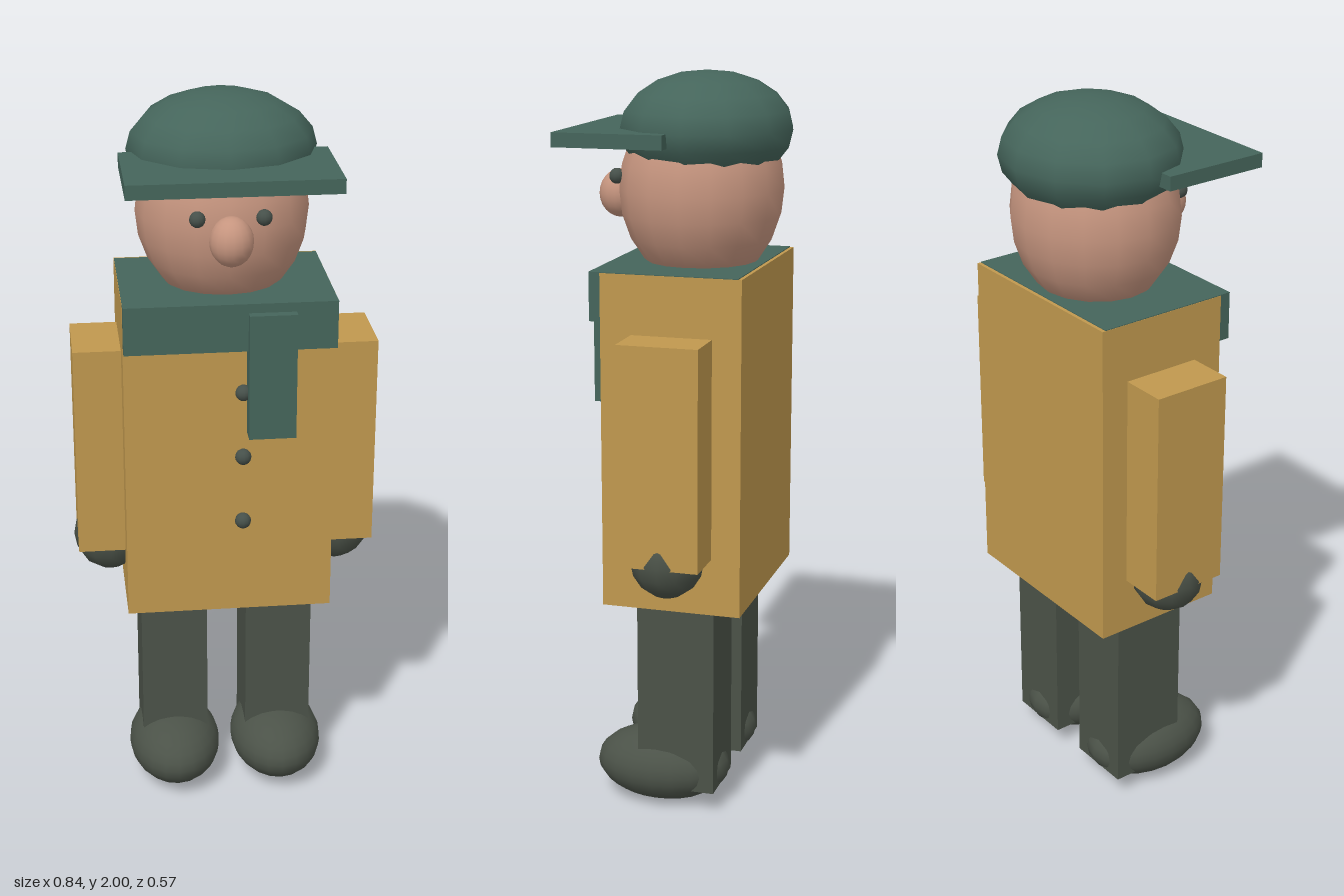
import * as THREE from 'three';

export function createModel() {
  const model = new THREE.Group();
  model.name = 'capped figure in coat';

  const material = (name, color) => {
    const m = new THREE.MeshStandardMaterial({ color });
    m.name = name;
    return m;
  };
  const coat = material('mustard coat', 0xc0984e);
  const green = material('green wool', 0x45655b);
  const skin = material('skin', 0xc6957f);
  const dark = material('charcoal cloth', 0x4b5248);
  const bead = material('dark bead', 0x46504a);

  const add = (name, geometry, mat, x, y, z) => {
    const mesh = new THREE.Mesh(geometry, mat);
    mesh.name = name;
    mesh.position.set(x, y, z);
    model.add(mesh);
    return mesh;
  };
  // Box given by its extents along each axis
  const box = (name, mat, [x0, x1], [y0, y1], [z0, z1]) =>
    add(name, new THREE.BoxGeometry(x1 - x0, y1 - y0, z1 - z0), mat,
      (x0 + x1) / 2, (y0 + y1) / 2, (z0 + z1) / 2);
  // Smooth ellipsoid given by centre and radii
  const ball = (name, mat, [x, y, z], radii, w = 12, h = 8) =>
    add(name, new THREE.SphereGeometry(1, w, h).scale(...radii), mat, x, y, z);

  // Coat body and scarf
  box('coatBody', coat, [-0.28, 0.28], [0.595, 1.498], [-0.225, 0.155]);
  box('scarfCollar', green, [-0.279, 0.279], [1.37, 1.5], [-0.215, 0.185]);
  box('scarfEnd', green, [0.045, 0.17], [1.13, 1.475], [0.15, 0.21]);
  for (const y of [1.245, 1.06, 0.87]) {
    ball('coatButton', bead, [0.035, y, 0.163], [0.022, 0.022, 0.022]);
  }

  // Head and face
  ball('head', skin, [0, 1.69, -0.04], [0.23, 0.26, 0.22], 16, 12);
  ball('nose', skin, [0, 1.67, 0.188], [0.057, 0.065, 0.058], 16, 12);

  // Cap
  ball('capCrown', green, [0, 1.85, -0.053], [0.25, 0.15, 0.233], 12, 10);
  box('capVisor', green, [-0.272, 0.272], [1.815, 1.853], [-0.012, 0.285]);

  // Paired parts
  for (const s of [1, -1]) {
    const side = s > 0 ? 'left' : 'right';
    const span = (a, b) => (s > 0 ? [a, b] : [-b, -a]);
    ball(side + 'Eye', bead, [s * 0.085, 1.725, 0.17], [0.021, 0.021, 0.021]);
    box(side + 'Arm', coat, span(0.27, 0.408), [0.75, 1.34], [-0.147, 0.071]);
    ball(side + 'Hand', dark, [s * 0.318, 0.755, -0.038], [0.1, 0.105, 0.1]);
    box(side + 'Leg', dark, span(0.055, 0.24), [0.06, 0.6], [-0.143, 0.072]);
    ball(side + 'Shoe', dark, [s * 0.148, 0.101, 0.026], [0.13, 0.101, 0.188], 20, 14);
  }

  return model;
}
